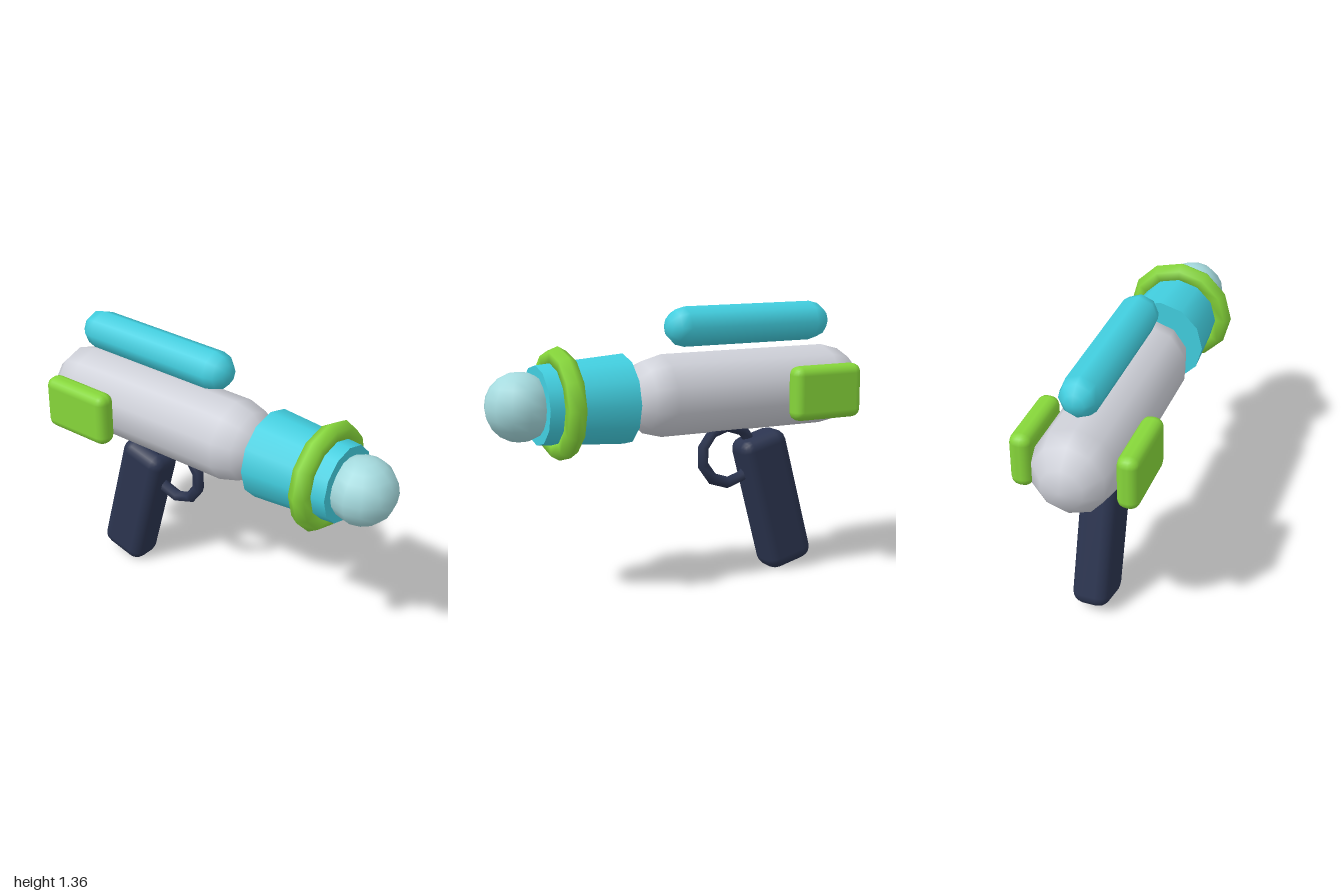
import * as THREE from 'three';
import { RoundedBoxGeometry } from 'three/addons/geometries/RoundedBoxGeometry.js';

const material = (name, color) => {
  const m = new THREE.MeshStandardMaterial({ color });
  m.name = name;
  return m;
};

// Capsule lying along z, given its total length
function capsuleZ(radius, length, capSegments, sides) {
  return new THREE.CapsuleGeometry(radius, length - 2 * radius, capSegments, sides)
    .rotateY(Math.PI / 2)
    .rotateX(Math.PI / 2);
}

export function createModel() {
  const group = new THREE.Group();
  group.name = 'toyBlaster';

  const grey = material('lightGrey', 0xcfd1d9);
  const teal = material('teal', 0x42cfe0);
  const green = material('limeGreen', 0x86d63a);
  const glass = material('paleAqua', 0xa5dade);
  const navy = material('navy', 0x2b344f);

  const add = (name, geometry, mat, x, y, z) => {
    const mesh = new THREE.Mesh(geometry, mat);
    mesh.name = name;
    mesh.position.set(x, y, z);
    group.add(mesh);
    return mesh;
  };

  const axisY = 0.938;

  // Main body and the tank above it
  add('body', capsuleZ(0.203, 1.315, 3, 10), grey, 0, axisY, -0.3425);
  add('topTank', capsuleZ(0.098, 0.905, 3, 8), teal, 0, 1.267, -0.3675);

  // Tapered nozzle with collar ring and round tip
  const nozzle = new THREE.CylinderGeometry(0.188, 0.218, 0.44, 12).rotateX(Math.PI / 2);
  add('nozzle', nozzle, teal, 0, axisY, 0.535);
  add('collarRing', new THREE.TorusGeometry(0.22, 0.05, 6, 12), green, 0, axisY, 0.643);
  add('muzzleBall', new THREE.SphereGeometry(0.163, 12, 10), glass, 0, axisY, 0.837);

  // Side pads
  for (const side of [-1, 1]) {
    const name = side > 0 ? 'leftPad' : 'rightPad';
    add(name, new RoundedBoxGeometry(0.105, 0.27, 0.385, 2, 0.045), green, side * 0.248, axisY, -0.668);
  }

  // Tilted grip and trigger guard
  const grip = add('grip', new RoundedBoxGeometry(0.186, 0.71, 0.26, 2, 0.06), navy, 0, 0.363, -0.515);
  grip.rotation.x = 0.26;
  const guard = new THREE.TorusGeometry(0.145, 0.03, 6, 10).rotateZ(Math.PI / 2).rotateY(Math.PI / 2);
  add('triggerGuard', guard, navy, 0, 0.615, -0.258);

  return group;
}
